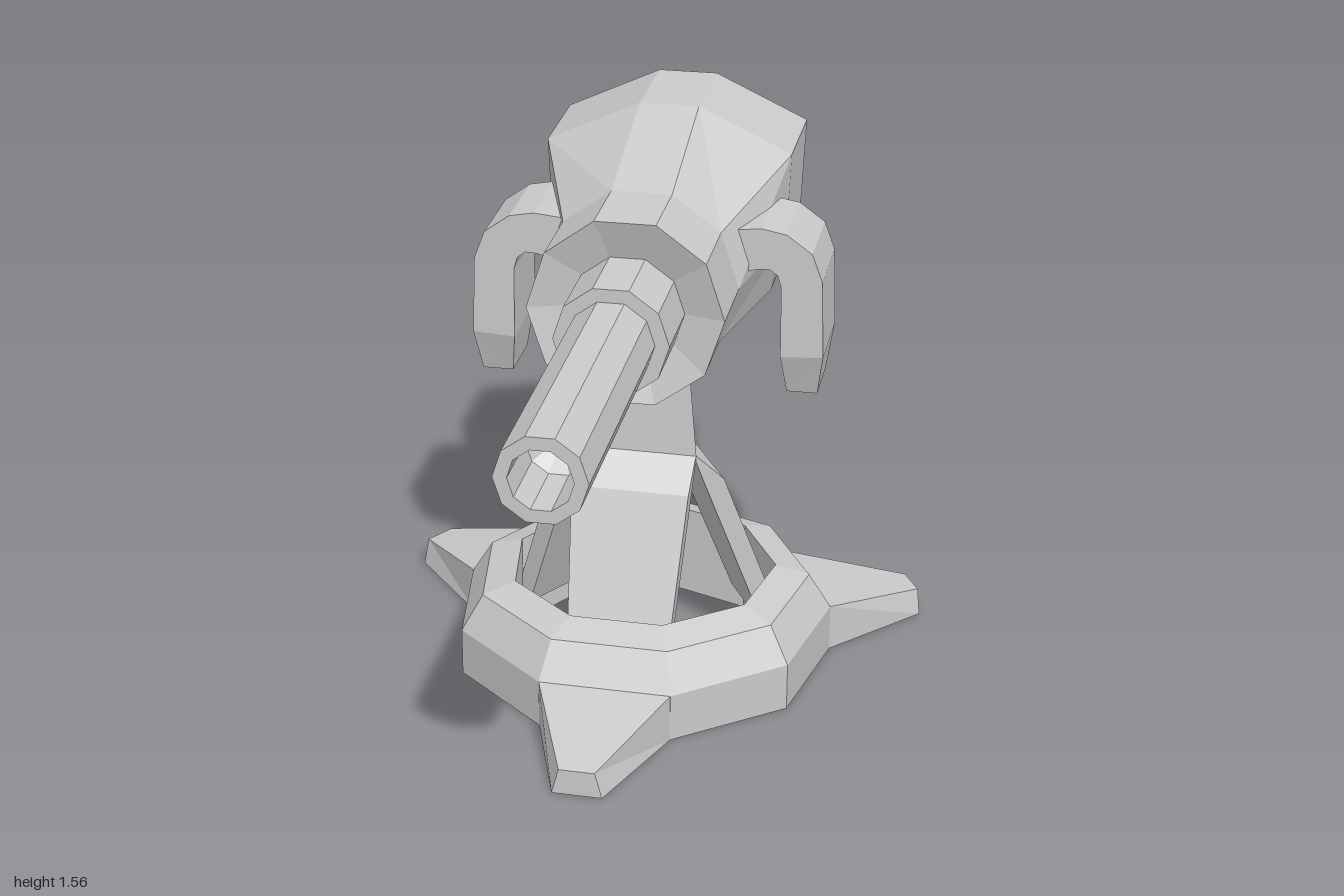
import * as THREE from 'three';

const material = new THREE.MeshStandardMaterial({ color: 0xcccccc, flatShading: true });

function named(name, geometry) {
  const mesh = new THREE.Mesh(geometry, material);
  mesh.name = name;
  return mesh;
}

// Closed solid through a row of equal-length loops, capped at both ends and turned outwards
function loft(sections) {
  const n = sections[0].length;
  const tris = [];
  for (let i = 0; i < sections.length - 1; i++) {
    for (let j = 0; j < n; j++) {
      const k = (j + 1) % n;
      const [a, b, c, d] = [sections[i][j], sections[i][k], sections[i + 1][k], sections[i + 1][j]];
      tris.push([a, b, c], [a, c, d]);
    }
  }
  const first = sections[0];
  const last = sections[sections.length - 1];
  for (let j = 1; j < n - 1; j++) {
    tris.push([first[0], first[j + 1], first[j]], [last[0], last[j], last[j + 1]]);
  }
  const v = (p) => new THREE.Vector3(...p);
  const volume = tris.reduce((sum, [a, b, c]) => sum + v(a).dot(v(b).cross(v(c))), 0);
  if (volume < 0) tris.forEach((t) => t.reverse());
  const geometry = new THREE.BufferGeometry();
  geometry.setAttribute('position', new THREE.Float32BufferAttribute(tris.flat(2), 3));
  geometry.computeVertexNormals();
  return geometry;
}

const lathe = (profile, sides, start) =>
  new THREE.LatheGeometry(profile.map(([r, y]) => new THREE.Vector2(r, y)), sides, start);

// Nine-sided ring with three feet and three braces carrying a triangular pillar
function createBase() {
  const base = new THREE.Group();
  base.name = 'base';
  base.position.set(-0.013, 0, -0.351);
  base.rotation.y = THREE.MathUtils.degToRad(-1.3);

  const ringProfile = [
    [0.549, 0], [0.549, 0.14], [0.484, 0.245], [0.386, 0.275], [0.386, 0], [0.549, 0],
  ];
  base.add(named('baseRing', lathe(ringProfile, 9, -Math.PI / 9)));

  // distance from centre, half width at bottom, half width at top, height
  const foot = loft([[0.514, 0.188, 0.188, 0.14], [0.853, 0.07, 0.05, 0.075]].map(
    ([z, w0, w1, h]) => [[-w0, 0, z], [w0, 0, z], [w1, h, z], [-w1, h, z]]));

  // half width, outer radius and height, inner radius and height
  const brace = loft([
    [0.172, 0.1, 0.68, 0.1, 0.66],
    [0.168, 0.186, 0.595, 0.125, 0.595],
    [0.14, 0.387, 0.08, 0.327, 0.08],
  ].map(([w, ro, yo, ri, yi]) => [[-w, yo, ro], [w, yo, ro], [w, yi, ri], [-w, yi, ri]]));

  for (let i = 0; i < 3; i++) {
    const side = new THREE.Group();
    side.name = 'tripodSide';
    side.rotation.y = (i * 2 * Math.PI) / 3;
    side.add(named('foot', foot), named('brace', brace));
    base.add(side);
  }

  const pillar = named('pillar', new THREE.CylinderGeometry(0.164, 0.2, 0.32, 3));
  pillar.position.y = 0.84;
  pillar.rotation.y = Math.PI;
  base.add(pillar);
  return base;
}

// Ten-sided housing, flaring upwards and outwards to the rear
function createHousing() {
  const loop = (half, z) => [
    ...half.map(([x, y]) => [x, y, z]),
    ...half.slice().reverse().map(([x, y]) => [-x, y, z]),
  ];
  const rear = [[0.085, 1.56], [0.353, 1.435], [0.342, 1.185], [0.303, 1.02], [0.085, 0.925]];
  const front = [[0.084, 1.445], [0.22, 1.345], [0.272, 1.185], [0.22, 1.025], [0.084, 0.925]];
  const recess = front.map(([x, y]) => [x * 0.5, 1.183 + (y - 1.185) * 0.5]);
  return named('housing', loft([
    loop(rear, -1), loop(rear, -0.69), loop(front, -0.275), loop(front, -0.035), loop(recess, -0.08),
  ]));
}

// Hooked side arm, tapering at its lower end
function createArm(side) {
  // outer x and y, inner x and y, half depth
  const steps = [
    [0.22, 1.325, 0.22, 1.19, 0.131],
    [0.32, 1.335, 0.31, 1.215, 0.131],
    [0.39, 1.322, 0.345, 1.217, 0.131],
    [0.462, 1.27, 0.368, 1.2, 0.131],
    [0.492, 1.19, 0.378, 1.165, 0.131],
    [0.5, 0.965, 0.38, 0.958, 0.131],
    [0.482, 0.838, 0.395, 0.838, 0.09],
  ];
  const z = -0.481;
  return loft(steps.map(([xo, yo, xi, yi, d]) => [
    [side * xo, yo, z - d], [side * xo, yo, z + d], [side * xi, yi, z + d], [side * xi, yi, z - d],
  ]));
}

// Collar and hollow barrel in one turned profile
function createBarrel() {
  const profile = [
    [0.157, -0.12], [0.157, 0.155], [0.118, 0.155], [0.118, 1], [0.082, 1], [0.082, 0.8], [0, 0.74],
  ];
  const barrel = named('barrel', lathe(profile, 10, Math.PI / 10));
  barrel.rotation.x = Math.PI / 2;
  barrel.position.y = 1.182;
  return barrel;
}

export function createModel() {
  const model = new THREE.Group();
  model.name = 'turret';

  const head = new THREE.Group();
  head.name = 'head';
  head.position.x = -0.006;
  head.add(
    createHousing(),
    createBarrel(),
    named('leftArm', createArm(1)),
    named('rightArm', createArm(-1)),
  );

  model.add(createBase(), head);
  return model;
}
